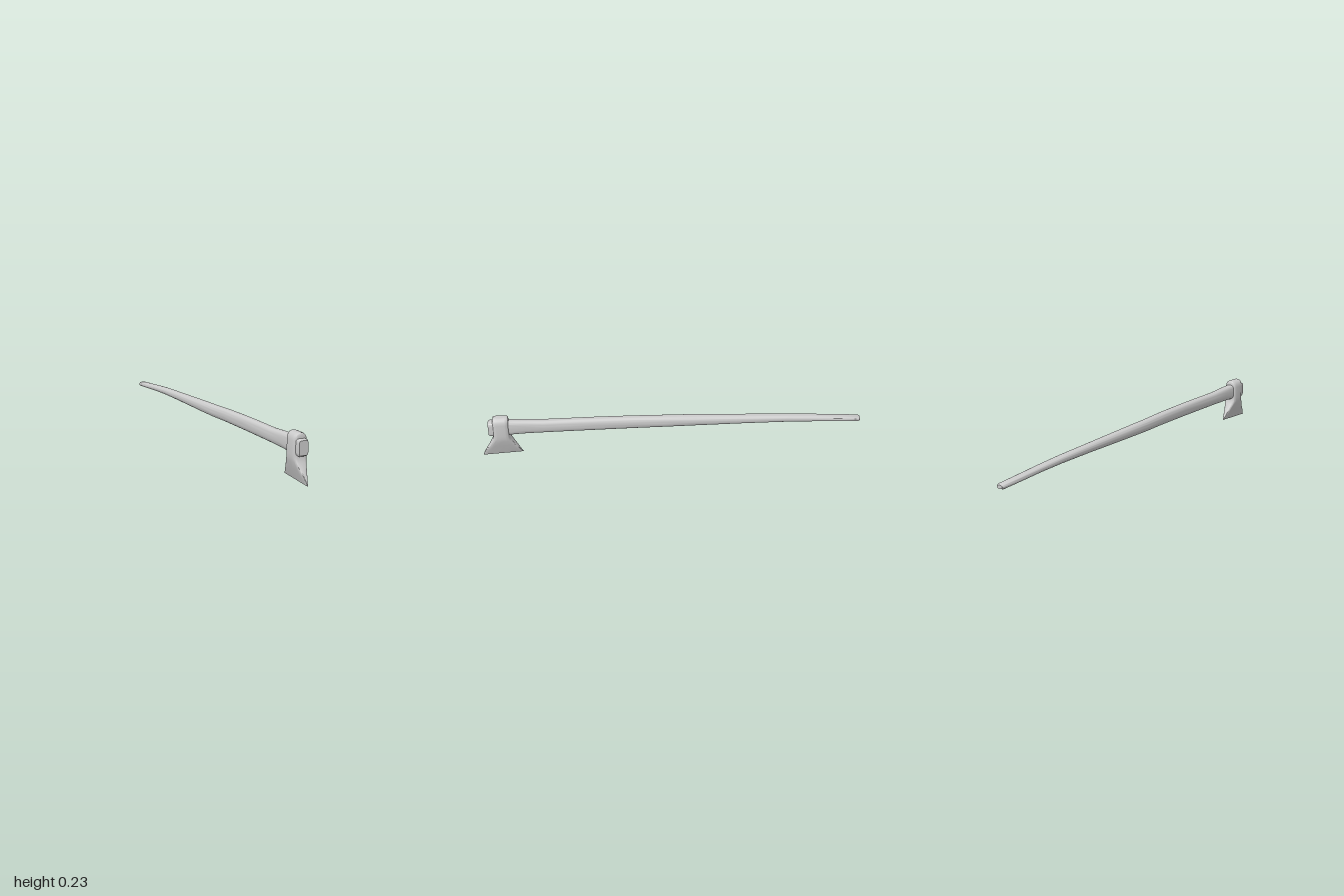
import * as THREE from 'three';
import { toCreasedNormals } from 'three/addons/utils/BufferGeometryUtils.js';

const SIDES = 32;

// Point on a superellipse; power 2 is an ellipse, higher is boxier.
function ovalPoint(j, power) {
  const a = (j / SIDES) * Math.PI * 2;
  const f = (v) => Math.sign(v) * Math.pow(Math.abs(v), 2 / power);
  return [f(Math.cos(a)), f(Math.sin(a))];
}

// Skins closed rings of points and caps both ends.
function loft(rings, crease) {
  const pos = [];
  const tri = (...pts) => pts.forEach((p) => pos.push(p.x, p.y, p.z));
  const center = (ring) => ring.reduce((s, p) => s.add(p), new THREE.Vector3()).divideScalar(SIDES);
  const last = rings[rings.length - 1];
  const c0 = center(rings[0]);
  const c1 = center(last);
  for (let j = 0; j < SIDES; j++) {
    const k = (j + 1) % SIDES;
    for (let i = 0; i < rings.length - 1; i++) {
      const a = rings[i], b = rings[i + 1];
      tri(a[j], a[k], b[k]);
      tri(a[j], b[k], b[j]);
    }
    tri(c0, rings[0][k], rings[0][j]);
    tri(c1, last[j], last[k]);
  }
  const g = new THREE.BufferGeometry();
  g.setAttribute('position', new THREE.Float32BufferAttribute(pos, 3));
  return toCreasedNormals(g, crease);
}

// Handle sections: z, x min, x max, y min, y max, boxiness
const HANDLE = [
  [-1.0, -0.018, 0.016, 0.097, 0.115, 2.6],
  [-0.99, -0.023, 0.021, 0.093, 0.12, 2.6],
  [-0.9, -0.024, 0.022, 0.098, 0.127, 2.5],
  [-0.75, -0.024, 0.023, 0.107, 0.14, 2.4],
  [-0.6, -0.025, 0.023, 0.113, 0.151, 2.4],
  [-0.4, -0.027, 0.022, 0.116, 0.161, 2.4],
  [-0.1, -0.032, 0.022, 0.118, 0.176, 2.4],
  [0.05, -0.031, 0.022, 0.119, 0.182, 2.4],
  [0.2, -0.028, 0.024, 0.123, 0.189, 2.5],
  [0.4, -0.026, 0.025, 0.125, 0.195, 2.5],
  [0.55, -0.025, 0.025, 0.126, 0.197, 2.5],
  [0.68, -0.025, 0.025, 0.127, 0.198, 2.6],
  [0.78, -0.025, 0.025, 0.127, 0.205, 2.8],
  [0.85, -0.026, 0.026, 0.126, 0.207, 3.5],
  [0.95, -0.027, 0.027, 0.126, 0.205, 6],
  [0.96, -0.023, 0.023, 0.132, 0.201, 6],
];

// Head sections: y, half width, z back, z front, boxiness
const HEAD = [
  [0.003, 0.0015, 0.79, 1.0, 8],
  [0.02, 0.007, 0.798, 0.993, 7],
  [0.06, 0.02, 0.822, 0.966, 6],
  [0.095, 0.031, 0.843, 0.946, 5],
  [0.112, 0.0345, 0.852, 0.938, 5],
  [0.13, 0.035, 0.854, 0.936, 5],
  [0.195, 0.035, 0.854, 0.936, 5],
  [0.209, 0.0325, 0.854, 0.936, 5],
  [0.219, 0.0275, 0.855, 0.935, 5],
  [0.226, 0.02, 0.857, 0.933, 5],
  [0.23, 0.009, 0.861, 0.929, 5],
];

export function createModel() {
  const axe = new THREE.Group();
  axe.name = 'axe';
  const material = new THREE.MeshStandardMaterial({ color: 0xcccccc });
  const add = (name, geometry) => {
    const mesh = new THREE.Mesh(geometry, material);
    mesh.name = name;
    axe.add(mesh);
  };

  // Long, slightly bowed wooden handle
  add('handle', loft(HANDLE.map(([z, x0, x1, y0, y1, power]) =>
    Array.from({ length: SIDES }, (_, j) => {
      const [u, v] = ovalPoint(j, power);
      return new THREE.Vector3((x0 + x1) / 2 + (u * (x1 - x0)) / 2, (y0 + y1) / 2 + (v * (y1 - y0)) / 2, z);
    })), 0.8));

  // Wedge-shaped head with a flared blade; the rear of the edge sits a little higher
  add('axeHead', loft(HEAD.map(([y, w, z0, z1, power]) =>
    Array.from({ length: SIDES }, (_, j) => {
      const [u, v] = ovalPoint(j, power);
      const tilt = y < 0.01 ? 0.0045 * (1 - u) - 0.003 : 0;
      return new THREE.Vector3(v * w, y + tilt, (z0 + z1) / 2 + (u * (z1 - z0)) / 2);
    })), 0.65));

  return axe;
}
